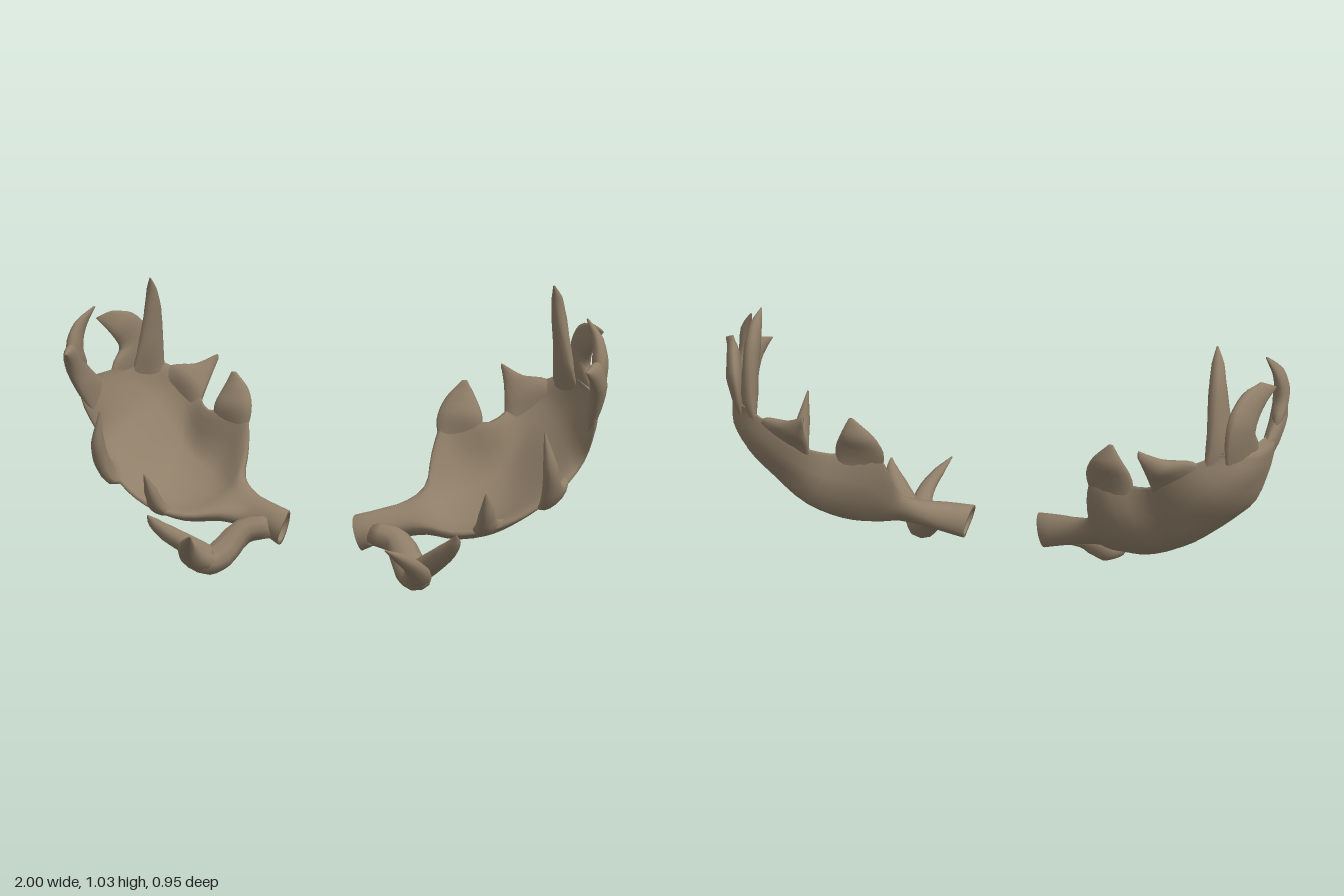
import * as THREE from 'three';

const V = (p) => new THREE.Vector3(...p);
const antlerBone = new THREE.MeshStandardMaterial({ color: 0x8f7e68, side: THREE.DoubleSide });
antlerBone.name = 'antlerBone';

// Value of a list of numbers at u = 0..1
function sample(list, u) {
  const f = u * (list.length - 1), k = Math.min(Math.floor(f), list.length - 2);
  return THREE.MathUtils.lerp(list[k], list[k + 1], f - k);
}

// Closed skin over equal-sized rings of points; side = -1 mirrors it in x.
function skin(rings, side) {
  const n = rings[0].length, pos = [], idx = [];
  const centre = (r) => r.reduce((a, p) => a.add(p), new THREE.Vector3()).divideScalar(n);
  const pts = [...rings.flat(), centre(rings[0]), centre(rings[rings.length - 1])];
  pts.forEach((p) => pos.push(p.x * side, p.y, p.z));
  const start = rings.length * n, last = start - n;
  for (let j = 0; j < n; j++) {
    const k = (j + 1) % n;
    for (let i = 0; i + 1 < rings.length; i++) {
      const a = i * n + j, b = i * n + k;
      idx.push(a, b, a + n, b, b + n, a + n);
    }
    idx.push(start, k, j, start + 1, last + j, last + k);
  }
  // Turn the faces outward, using the sign of the enclosed volume
  const at = (i) => V(pos.slice(i * 3, i * 3 + 3));
  let volume = 0;
  for (let i = 0; i < idx.length; i += 3) volume += at(idx[i]).dot(at(idx[i + 1]).cross(at(idx[i + 2])));
  if (volume < 0) idx.reverse();
  const g = new THREE.BufferGeometry();
  g.setAttribute('position', new THREE.Float32BufferAttribute(pos, 3));
  g.setIndex(idx);
  g.computeVertexNormals();
  return g;
}

// Lens-shaped rings spanning a sheet between rails, with half-thicknesses along it
function sheetRings(railPoints, thick, steps, n) {
  const rails = railPoints.map((r) => new THREE.CatmullRomCurve3(r));
  return Array.from({ length: steps + 1 }, (_, i) => {
    const u = i / steps, t = sample(thick, u);
    const across = new THREE.CatmullRomCurve3(rails.map((r) => r.getPoint(u)));
    const along = rails.reduce((a, r) => a.add(r.getTangent(u)), new THREE.Vector3());
    return Array.from({ length: n }, (_, j) => {
      const a = (j / n) * Math.PI * 2, s = (1 - Math.cos(a)) / 2;
      const normal = across.getTangent(s).cross(along).normalize();
      return across.getPoint(s).addScaledVector(normal, Math.sin(a) * t);
    });
  });
}

// Tapered round tine along a path
function tineRings(path, widths) {
  const curve = new THREE.CatmullRomCurve3(path.map(V)), steps = 12, n = 10;
  return Array.from({ length: steps + 1 }, (_, i) => {
    const u = i / steps, w = sample(widths, u);
    const c = curve.getPoint(u), tan = curve.getTangent(u);
    const wide = tan.clone().cross(V([0, 1, 0])).normalize(), thin = wide.clone().cross(tan);
    return Array.from({ length: n }, (_, j) => {
      const a = (j / n) * Math.PI * 2;
      return c.clone().addScaledVector(wide, Math.cos(a) * w).addScaledVector(thin, Math.sin(a) * w * .85);
    });
  });
}

// Palm stations from the burr outward: front edge, two belly points, back edge
const palm = [
  [[.14, .16, .092], [.28, .175, .045], [.38, .2, .07], [.5, .2, .12], [.62, .22, .11],
    [.74, .27, .07], [.85, .35, 0], [.92, .44, -.085], [.955, .56, -.035], [.97, .67, 0]],
  [[.14, .16, .053], [.275, .19, 0], [.38, .205, -.01], [.5, .19, 0], [.61, .21, -.04],
    [.72, .28, -.09], [.82, .38, -.13], [.89, .48, -.17], [.935, .58, -.14], [.955, .67, -.13]],
  [[.14, .165, .013], [.27, .215, -.045], [.36, .24, -.08], [.43, .25, -.15], [.5, .3, -.24],
    [.62, .36, -.3], [.715, .48, -.35], [.8, .57, -.37], [.875, .63, -.32], [.915, .685, -.255]],
  [[.14, .17, -.026], [.265, .235, -.08], [.345, .305, -.135], [.355, .42, -.21], [.39, .53, -.27],
    [.55, .53, -.3], [.63, .59, -.39], [.71, .665, -.415], [.785, .7, -.4], [.83, .72, -.39]],
].map((rail) => rail.map(V));
const palmThickness = [.066, .05, .044, .034, .03, .028, .027, .025, .023, .014];

function palmRings() {
  const rings = sheetRings(palm, palmThickness, 27, 24);
  // Shallow socket in the burr
  const c = new THREE.Vector3(.14, .165, .033);
  const inset = (s, dx) => rings[0].map((p) => p.clone().sub(c).multiplyScalar(s).add(c).setX(p.x + dx));
  return [inset(.7, .04), inset(.78, 0), ...rings];
}

// Points on the middle of the palm, so that tines can root inside it
const palmCore = sheetRings(palm, [0, 0], 60, 60).flat();
const toPalm = (p) => palmCore.reduce((a, b) => (b.distanceToSquared(p) < a.distanceToSquared(p) ? b : a)).clone();

// Flat tine with its roots snapped into the palm
function flatTineRings(edgeA, edgeB, thick) {
  const a = edgeA.map(V), b = edgeB.map(V), mid = a.map((p, i) => p.clone().lerp(b[i], .5));
  const rails = [a, mid, b];
  rails.forEach((r) => { r[0] = toPalm(r[0]); });
  return sheetRings(rails, thick, 12, 14);
}

// Flat tines growing out of the palm's rim: two edges from inside the palm to the tip, half-thicknesses
const flatTines = {
  upperFrontTine: [
    [[.93, .5, -.11], [.957, .61, -.01], [.97, .7, .05], [.957, .75, .1], [.942, .781, .14]],
    [[.935, .62, -.22], [.955, .69, -.115], [.972, .74, -.06], [.967, .81, .03], [.943, .787, .138]],
    [.004, .026, .03, .022, .004]],
  upperFrontFork: [
    [[.96, .65, .0], [.972, .76, .055], [.972, .83, .035], [.96, .89, -.003], [.922, .945, -.072]],
    [[.955, .65, -.09], [.97, .73, -.085], [.975, .785, -.052], [.963, .86, -.063], [.918, .943, -.077]],
    [.004, .026, .028, .02, .003]],
  crownTine: [
    [[.92, .64, -.2], [.922, .715, -.24], [.91, .76, -.277], [.925, .82, -.235], [.968, .887, -.19]],
    [[.84, .62, -.36], [.835, .74, -.4], [.845, .84, -.39], [.875, .9, -.325], [.918, .914, -.235]],
    [.004, .022, .028, .024, .006]],
  tallTine: [
    [[.875, .63, -.31], [.845, .77, -.31], [.805, .91, -.303], [.79, .98, -.299], [.78, 1.04, -.284]],
    [[.76, .6, -.375], [.78, .735, -.408], [.785, .92, -.386], [.785, 1.005, -.335], [.778, 1.04, -.288]],
    [.004, .03, .028, .02, .003]],
  rearTine: [
    [[.63, .49, -.33], [.598, .57, -.372], [.587, .64, -.43], [.572, .705, -.475]],
    [[.79, .65, -.38], [.745, .685, -.413], [.66, .69, -.437], [.57, .73, -.465]],
    [.004, .026, .026, .005]],
  innerTine: [
    [[.4, .43, -.22], [.362, .54, -.265], [.387, .615, -.305], [.445, .68, -.325]],
    [[.53, .46, -.28], [.527, .55, -.3], [.495, .62, -.325], [.463, .68, -.325]],
    [.004, .026, .026, .005]],
  lowerFrontTine: [
    [[.77, .28, -.03], [.795, .3, .085], [.82, .38, .13], [.825, .46, .157], [.81, .578, .147]],
    [[.9, .44, -.15], [.87, .378, -.025], [.845, .4, .055], [.835, .46, .092], [.81, .58, .143]],
    [.004, .028, .03, .025, .003]],
  smallFrontTine: [
    [[.52, .2, .03], [.565, .205, .105], [.6, .265, .155], [.62, .355, .19]],
    [[.71, .25, .01], [.655, .25, .085], [.635, .31, .122], [.624, .366, .186]],
    [.004, .028, .025, .003]],
};

// Round brow branch below the beam
const browTines = {
  browStem: [[[.2, .165, .035], [.29, .145, .065], [.355, .07, .14], [.385, .055, .19], [.41, .078, .25]],
    [.052, .054, .062, .055, .04]],
  browInnerTine: [[[.38, .055, .18], [.407, .085, .26], [.403, .135, .34], [.375, .18, .41], [.34, .22, .475]],
    [.05, .045, .033, .022, .003]],
  browOuterTine: [[[.38, .065, .17], [.44, .115, .21], [.5, .17, .265], [.54, .22, .31], [.55, .25, .335]],
    [.05, .045, .038, .022, .003]],
};

export function createModel() {
  const model = new THREE.Group();
  model.name = 'antlers';
  for (const side of [1, -1]) {
    const antler = new THREE.Group();
    antler.name = side > 0 ? 'leftAntler' : 'rightAntler';
    const add = (name, rings) => {
      const mesh = new THREE.Mesh(skin(rings, side), antlerBone);
      mesh.name = name;
      antler.add(mesh);
    };
    add('beamAndPalm', palmRings());
    for (const [name, spec] of Object.entries(flatTines)) add(name, flatTineRings(...spec));
    for (const [name, spec] of Object.entries(browTines)) add(name, tineRings(...spec));
    model.add(antler);
  }
  return model;
}
